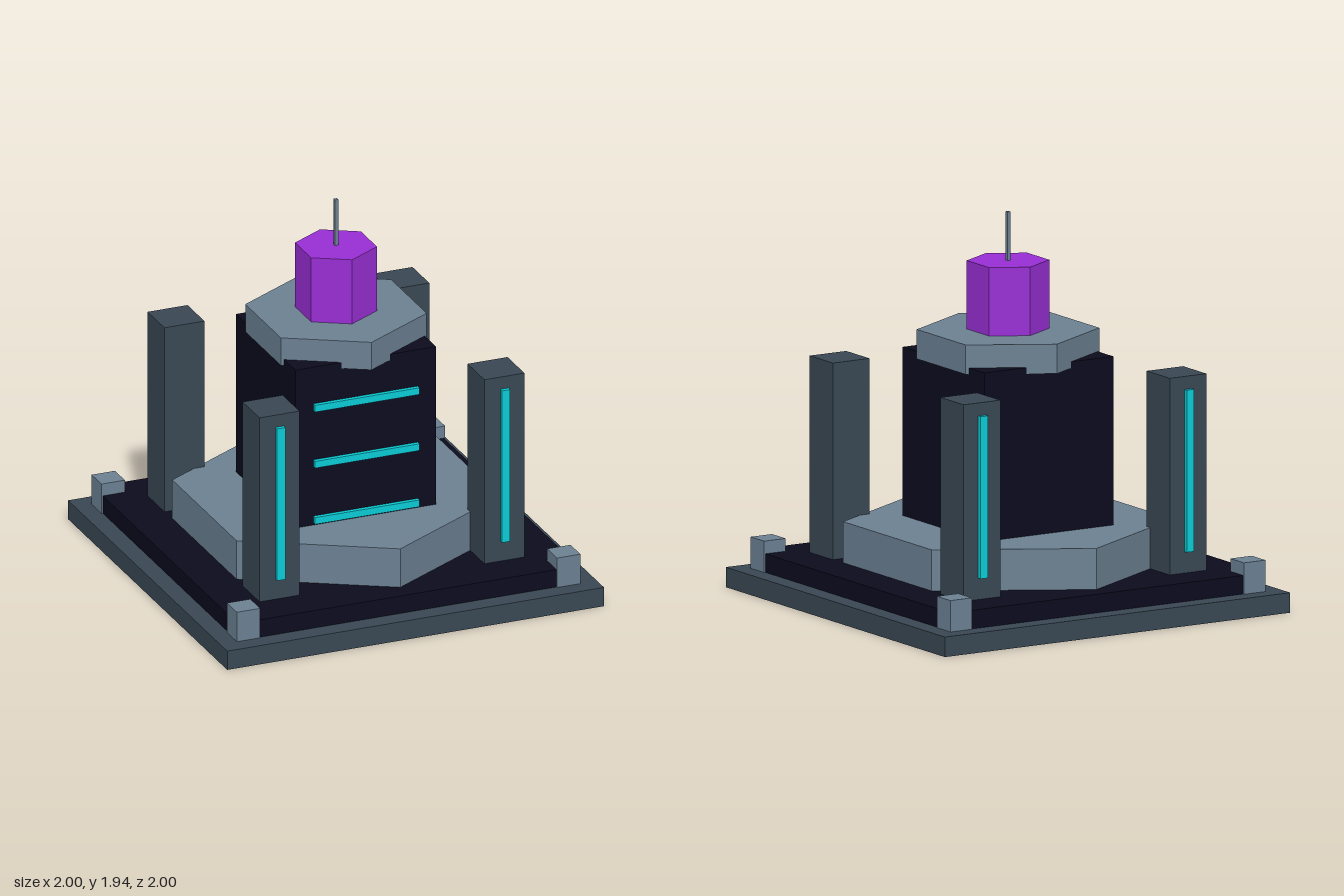
import * as THREE from 'three';

const material = (name, color) => {
  const m = new THREE.MeshStandardMaterial({ color, flatShading: true });
  m.name = name;
  return m;
};

export function createModel() {
  const charcoal = material('charcoal', 0x394753);
  const slate = material('slate', 0x6b8092);
  const midnight = material('midnight', 0x0b0b1e);
  const cyan = material('cyan', 0x0accd6);
  const purple = material('purple', 0x982ed4);

  const model = new THREE.Group();
  model.name = 'tower';

  const add = (name, geometry, mat, x, y, z) => {
    const mesh = new THREE.Mesh(geometry, mat);
    mesh.name = name;
    mesh.position.set(x, y, z);
    model.add(mesh);
  };
  // Parts are placed by their bottom and top heights
  const box = (name, mat, w, d, y0, y1, x = 0, z = 0) =>
    add(name, new THREE.BoxGeometry(w, y1 - y0, d), mat, x, (y0 + y1) / 2, z);
  const hexagon = (name, mat, r, y0, y1) =>
    add(name, new THREE.CylinderGeometry(r, r, y1 - y0, 6), mat, 0, (y0 + y1) / 2, 0);

  // Stepped foundation
  box('base', charcoal, 2, 2, 0, 0.1);
  box('deck', midnight, 1.81, 1.81, 0.1, 0.193);
  hexagon('plinth', slate, 0.807, 0.193, 0.398);

  // Central tower, cap, beacon and antenna
  box('towerBody', midnight, 0.746, 0.746, 0.398, 1.24);
  hexagon('cap', slate, 0.447, 1.208, 1.355);
  hexagon('beacon', purple, 0.202, 1.355, 1.697);
  box('antenna', slate, 0.018, 0.018, 1.697, 1.94);

  // Light bars on the front of the tower
  for (const y of [0.428, 0.728, 1.027]) {
    box('frontLightBar', cyan, 0.555, 0.022, y - 0.018, y + 0.018, 0, 0.384);
  }

  // Corner blocks, and pillars with outward-facing light strips
  for (const sx of [-1, 1]) {
    for (const sz of [-1, 1]) {
      box('cornerBlock', slate, 0.124, 0.124, 0.1, 0.257, sx * 0.85, sz * 0.85);
      box('pillar', charcoal, 0.212, 0.212, 0.193, 1.175, sx * 0.597, sz * 0.597);
      box('pillarLightStrip', cyan, 0.043, 0.022, 0.3, 1.11, sx * 0.597, sz * 0.714);
    }
  }
  return model;
}
